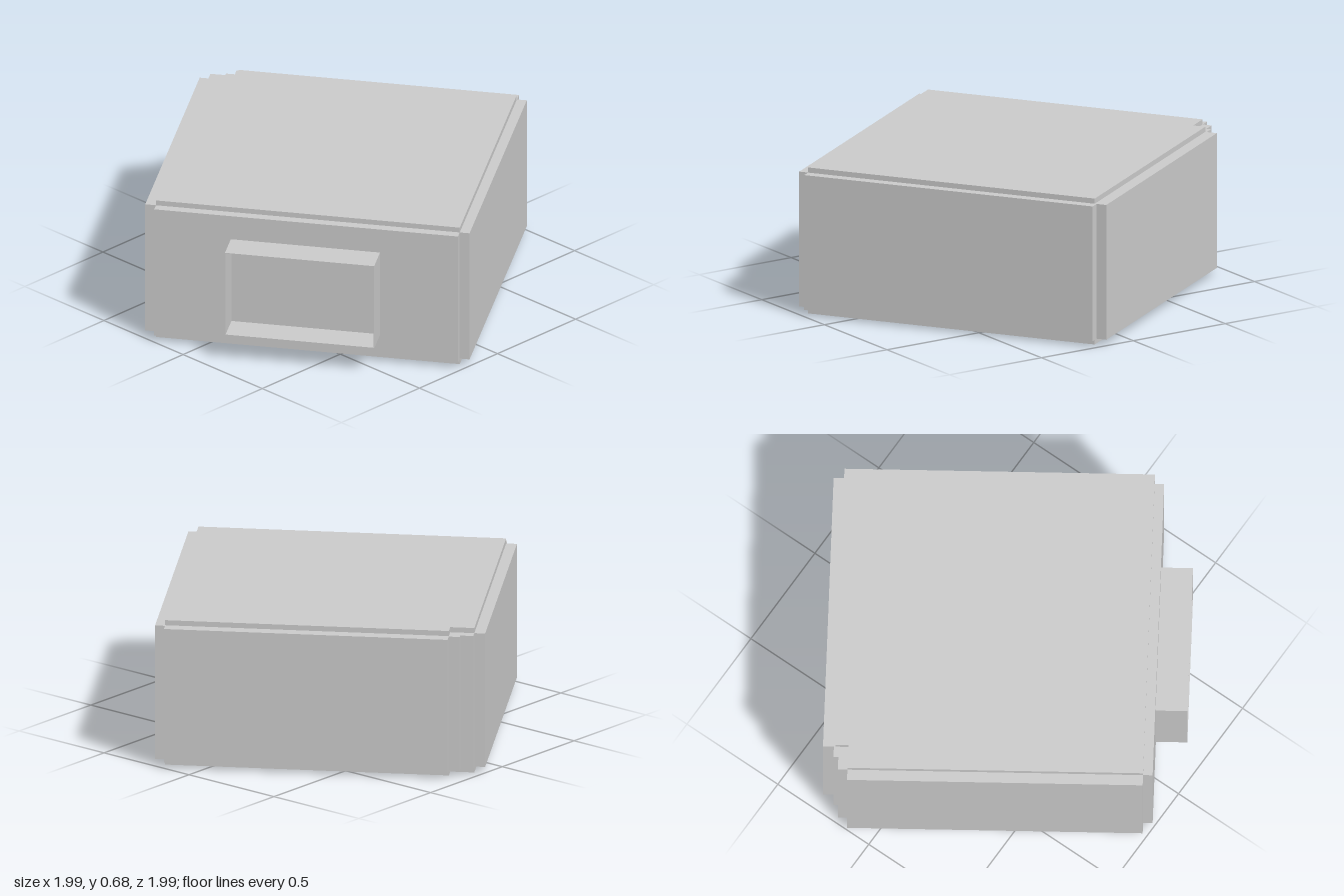
import * as THREE from 'three';

// Slightly skewed plan axes: u runs along the front wall, v points out of it
const U = [0.8387, -0.5446];
const V = [0.5592, 0.829];
const material = new THREE.MeshStandardMaterial({ color: 0xcccccc, flatShading: true, side: THREE.DoubleSide });

// Upright prism over a plan outline given in (u, v)
function prism(name, outline, y0, y1) {
  const shape = new THREE.Shape(outline.map(([u, v]) =>
    new THREE.Vector2(u * U[0] + v * V[0], -(u * U[1] + v * V[1]))));
  const geometry = new THREE.ExtrudeGeometry(shape, { depth: y1 - y0, bevelEnabled: false });
  geometry.rotateX(-Math.PI / 2).translate(0, y0, 0);
  const mesh = new THREE.Mesh(geometry, material);
  mesh.name = name;
  return mesh;
}

const rect = (u0, u1, v0, v1) => [[u0, v0], [u1, v0], [u1, v1], [u0, v1]];

export function createModel() {
  const model = new THREE.Group();
  model.name = 'room';

  // Inner faces of the walls, wall heights and total height
  const left = -0.713, right = 0.682, back = -0.703, front = 0.685;
  const low = 0.028, high = 0.658, top = 0.682;
  const notchU = -0.604, notchV = -0.645;

  // Floor and ceiling slabs, cut away at the back left corner
  const slab = [[notchU, back], [right, back], [right, front], [left, front], [left, notchV], [notchU, notchV]];
  model.add(prism('floor', slab, 0, low), prism('ceiling', slab, high, top));

  // Walls standing just outside the slabs
  const walls = {
    frontWall: rect(left, right, front, 0.728),
    backWall: rect(notchU, 0.682, -0.759, back),
    rightWall: rect(right, 0.727, -0.712, front),
    leftWall: rect(-0.762, left, notchV, front),
    cornerPostInner: rect(-0.654, notchU, -0.71, notchV),
    cornerPostOuter: rect(left, -0.654, -0.688, notchV),
  };
  for (const [name, outline] of Object.entries(walls)) model.add(prism(name, outline, low, high));

  // Thin, open-fronted window surround on the front wall
  const surround = new THREE.Group();
  surround.name = 'windowSurround';
  const u0 = -0.361, u1 = 0.324, v0 = 0.728, v1 = 0.871, y0 = 0.132, y1 = 0.543, t = 0.003;
  surround.add(
    prism('surroundSill', rect(u0, u1, v0, v1), y0, y0 + t),
    prism('surroundHead', rect(u0, u1, v0, v1), y1 - t, y1),
    prism('surroundSideA', rect(u0, u0 + t, v0, v1), y0 + t, y1 - t),
    prism('surroundSideB', rect(u1 - t, u1, v0, v1), y0 + t, y1 - t),
  );
  model.add(surround);

  return model;
}
